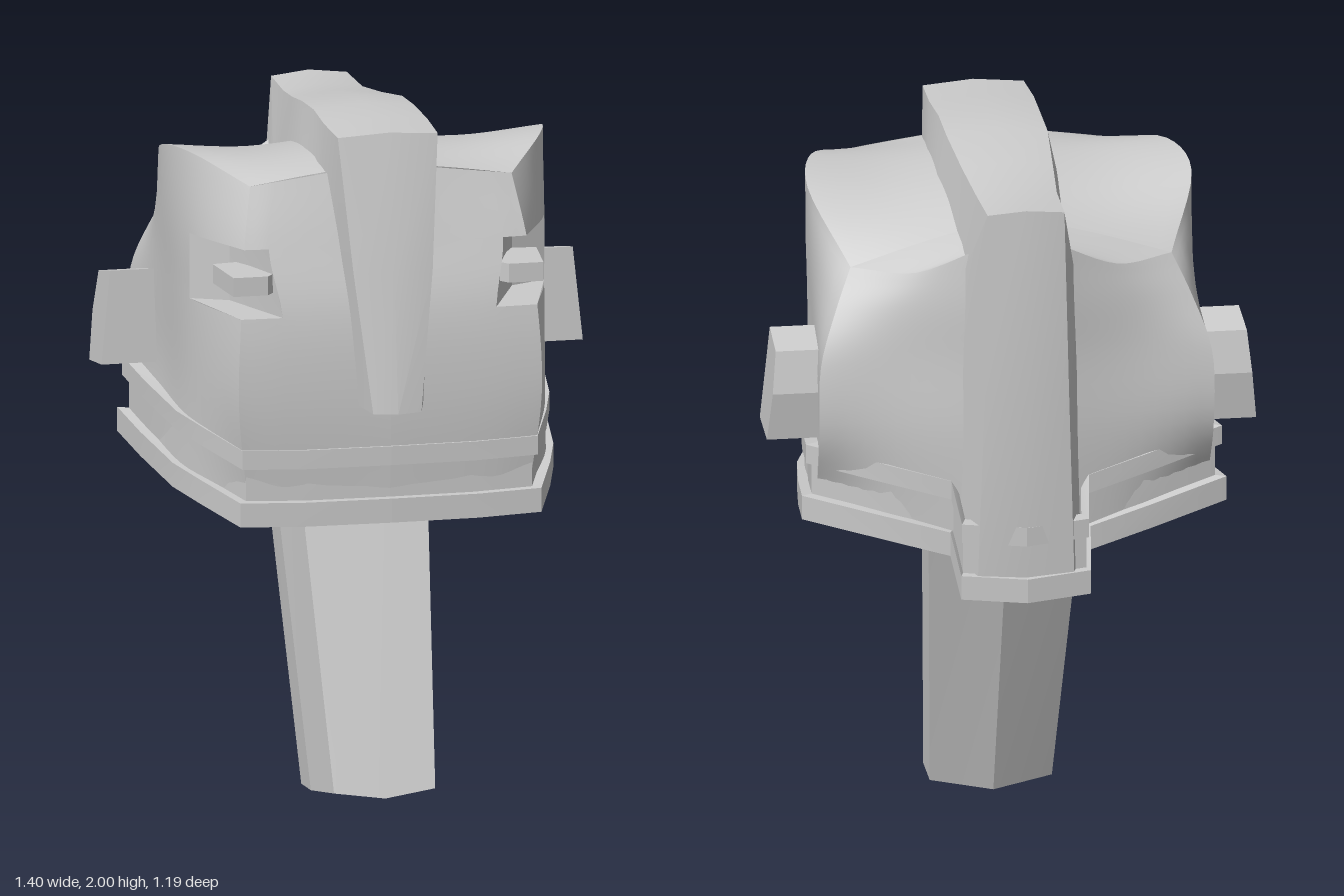
import * as THREE from 'three';
import { toCreasedNormals } from 'three/addons/utils/BufferGeometryUtils.js';

const material = new THREE.MeshStandardMaterial({ color: 0xcccccc, side: THREE.DoubleSide });
const STEPS = 5;

function geometryFrom(points, index) {
  const g = new THREE.BufferGeometry();
  g.setAttribute('position', new THREE.Float32BufferAttribute(points.flat(), 3));
  g.setIndex(index);
  g.computeVertexNormals();
  return g;
}

// points on a smooth curve through the given points
function curvePoints(pts) {
  const c = new THREE.CatmullRomCurve3(pts.map(p => new THREE.Vector3(...p)));
  const n = (pts.length - 1) * STEPS;
  return Array.from({ length: n + 1 }, (_, i) => c.getPoint(i / n).toArray());
}

// smooth surface through a net of rows; one span of the net may be left open
function patch(net, open) {
  const rows = net.map(curvePoints), w = rows[0].length;
  const cols = rows[0].map((_, i) => curvePoints(rows.map(r => r[i])));
  const h = cols[0].length, pts = [], idx = [];
  for (let j = 0; j < h; j++) for (let i = 0; i < w; i++) pts.push(cols[i][j]);
  for (let j = 0; j < h - 1; j++) for (let i = 0; i < w - 1; i++) {
    if (open && Math.floor(j / STEPS) === open[0] && Math.floor(i / STEPS) === open[1]) continue;
    const a = j * w + i, b = a + w;
    idx.push(a, a + 1, b + 1, a, b + 1, b);
  }
  return geometryFrom(pts, idx);
}

// closed solid through cross-sections with equal point counts
function loft(sections, crease) {
  const n = sections[0].length, last = (sections.length - 1) * n, idx = [];
  for (let s = 0; s < sections.length - 1; s++) for (let i = 0; i < n; i++) {
    const a = s * n + i, b = s * n + (i + 1) % n;
    idx.push(a, b, b + n, a, b + n, a + n);
  }
  for (let i = 1; i < n - 1; i++) idx.push(0, i + 1, i, last, last + i, last + i + 1);
  return toCreasedNormals(geometryFrom(sections.flat(), idx), crease);
}

// flat-faced strip between two polylines
function strip(lower, upper) {
  const n = lower.length, idx = [];
  for (let i = 0; i < n - 1; i++) idx.push(i, i + 1, n + i + 1, i, n + i + 1, n + i);
  return toCreasedNormals(geometryFrom([...lower, ...upper], idx), 0.2);
}

function mirrored(geometry) {
  const g = geometry.index ? geometry.toNonIndexed() : geometry.clone();
  g.scale(-1, 1, 1);
  for (const name of ['position', 'normal']) {
    const a = g.attributes[name];
    for (let i = 0; i < a.count; i += 3) {
      const p = [a.getX(i + 1), a.getY(i + 1), a.getZ(i + 1)];
      a.setXYZ(i + 1, a.getX(i + 2), a.getY(i + 2), a.getZ(i + 2));
      a.setXYZ(i + 2, ...p);
    }
  }
  return g;
}

export function createModel() {
  const model = new THREE.Group();
  const add = (name, g) => {
    const m = new THREE.Mesh(g, material);
    m.name = name;
    model.add(m);
  };
  const addPair = (name, g) => {
    add(name + 'Left', g);
    add(name + 'Right', mirrored(g));
  };

  // helmet shell, left half: rows run from the rim to the top edge
  const front = [
    [[0, 0.93, 0.49], [0.3, 0.93, 0.48], [0.41, 0.94, 0.47]],
    [[0, 1.22, 0.505], [0.31, 1.22, 0.5], [0.44, 1.22, 0.495]],
    [[0, 1.47, 0.49], [0.31, 1.47, 0.485], [0.43, 1.47, 0.48]],
    [[0, 1.66, 0.44], [0.34, 1.66, 0.435], [0.41, 1.66, 0.43]],
    [[0, 1.88, 0.38], [0.31, 1.84, 0.375], [0.38, 1.83, 0.37]],
  ];
  const side = [
    [front[0][2], [0.52, 0.97, 0.19], [0.55, 1.0, -0.05], [0.56, 1.02, -0.29]],
    [front[1][2], [0.515, 1.22, 0.19], [0.535, 1.22, -0.08], [0.565, 1.22, -0.38]],
    [front[2][2], [0.515, 1.47, 0.19], [0.54, 1.47, -0.08], [0.56, 1.43, -0.375]],
    [front[3][2], [0.515, 1.66, 0.19], [0.545, 1.66, -0.07], [0.51, 1.58, -0.325]],
    [front[4][2], [0.51, 1.89, 0.16], [0.55, 1.86, -0.05], [0.46, 1.69, -0.27]],
  ];
  const back = [
    [side[0][3], [0.35, 0.96, -0.39], [0.12, 0.86, -0.45]],
    [side[1][3], [0.35, 1.22, -0.415], [0.12, 1.22, -0.46]],
    [side[2][3], [0.35, 1.45, -0.4], [0.12, 1.45, -0.45]],
    [side[3][3], [0.33, 1.6, -0.39], [0.12, 1.62, -0.45]],
    [side[4][3], [0.29, 1.7, -0.38], [0.12, 1.78, -0.44]],
  ];
  addPair('facePlate', patch(front, [2, 1]));
  addPair('sidePlate', patch(side, [2, 0]));
  addPair('backPlate', patch(back));

  // saddle-shaped top from the shell edge in to the centre line
  const dome = (edge, heights, dips) => patch([
    edge,
    edge.map(([x, y, z], i) => [x * 0.55, (y + heights[i]) / 2 - dips[i], z]),
    edge.map(([, , z], i) => [0, heights[i], z]),
  ]);
  addPair('topFront', dome(side[4], [1.88, 1.89, 1.87, 1.82], [0, 0.015, 0.02, 0]));
  addPair('topBack', dome(back[4], [1.82, 1.8, 1.78], [0, 0, 0]));

  // eye notches cut across the front corners, each with a bent bar inside
  const lower = [front[2][1], front[2][2], side[2][1]];
  const upper = [front[3][1], front[3][2], side[3][1]];
  const inner = (r, y) => [r[0], [0.41, y, 0.24], r[2]];
  const innerLower = inner(lower, 1.47), innerUpper = inner(upper, 1.66);
  addPair('eyeRecess', strip(innerLower, innerUpper));
  addPair('eyeSill', strip(lower, innerLower));
  addPair('eyeBrow', strip(innerUpper, upper));
  const barPlan = [[0.32, 0.43], [0.35, 0.47], [0.45, 0.47], [0.47, 0.29], [0.4, 0.28], [0.37, 0.38]];
  addPair('eyeBar', loft([1.535, 1.59].map(y => barPlan.map(([x, z]) => [x, y, z])), 0.1));

  // collar bands round the rim, stepping out and down round the crest
  const rim = [[0, 0, 0.515], [0.25, 0, 0.51], [0.435, 0.005, 0.5], [0.505, 0.03, 0.3], [0.55, 0.045, 0.14],
    [0.585, 0.075, -0.12], [0.605, 0.1, -0.33], [0.38, 0.055, -0.415], [0.2, 0.01, -0.45],
    [0.185, -0.085, -0.56], [0, -0.095, -0.59]];
  const band = (bottom, top, scale) => loft(rim.map(([x, y, z]) => {
    const at = (k, h) => [x * k, y + h, z * k];
    return [at(0.9, bottom), at(0.9, top), at(scale, top), at(scale, bottom)];
  }), 0.2);
  addPair('upperBand', band(1.03, 1.085, 0.985));
  addPair('middleBand', band(0.93, 1.03, 0.955));
  addPair('lowerBand', band(0.865, 0.935, 1.005));

  // underside closing the helmet
  addPair('underside', strip(
    rim.map(([, y, z]) => [0, y + 0.9, z * 0.97]),
    rim.map(([x, y, z]) => [x * 0.97, y + 0.872, z * 0.97])));

  // crest: outer z, y, half width, then inner z, y, half width
  const crest = [
    [0.585, 1.2, 0.07, 0.48, 1.21, 0.1], [0.53, 1.6, 0.115, 0.42, 1.6, 0.135],
    [0.46, 1.98, 0.145, 0.34, 1.83, 0.165], [0.3, 1.985, 0.15, 0.28, 1.83, 0.17],
    [0.15, 1.99, 0.145, 0.15, 1.83, 0.18], [0, 1.98, 0.145, 0, 1.82, 0.18],
    [-0.2, 1.945, 0.13, -0.2, 1.76, 0.165], [-0.38, 1.92, 0.115, -0.33, 1.74, 0.155],
    [-0.56, 1.92, 0.11, -0.43, 1.72, 0.155], [-0.58, 1.4, 0.12, -0.42, 1.4, 0.17],
    [-0.56, 0.78, 0.14, -0.42, 0.87, 0.18],
  ];
  add('crest', loft(crest.map(([oz, oy, ow, iz, iy, iw]) => {
    const k = 0.013 / Math.hypot(oz - iz, oy - iy);
    const ridge = [0, oy + (oy - iy) * k, oz + (oz - iz) * k];
    return [[-iw, iy, iz], [-ow, oy, oz], ridge, [ow, oy, oz], [iw, iy, iz]];
  }), 0.3));

  // ear blocks, leaning slightly inward at the top
  const earOutline = [[-0.13, 1.21], [-0.28, 1.19], [-0.3, 1.33], [-0.275, 1.45], [-0.14, 1.48]];
  addPair('earBlock', loft([0.5, 0.7].map(x =>
    earOutline.map(([z, y]) => [x - (y - 1.2) * 0.1, y, z])), 0.1));

  // slanted neck with a ridge at the back
  const neck = (w, frontZ, backZ, yf, yb) => [
    [0, yf - 0.02, frontZ + 0.01], [w * 0.84, yf, frontZ], [w, (yf + yb) / 2, (frontZ + backZ) / 2],
    [w, yb + 0.02, backZ + 0.05], [0, yb, backZ],
    [-w, yb + 0.02, backZ + 0.05], [-w, (yf + yb) / 2, (frontZ + backZ) / 2], [-w * 0.84, yf, frontZ],
  ];
  add('neck', loft([neck(0.175, 0.42, 0.07, 0.06, 0.0), neck(0.225, 0.12, -0.24, 0.99, 0.98)], 0.1));

  return model;
}
